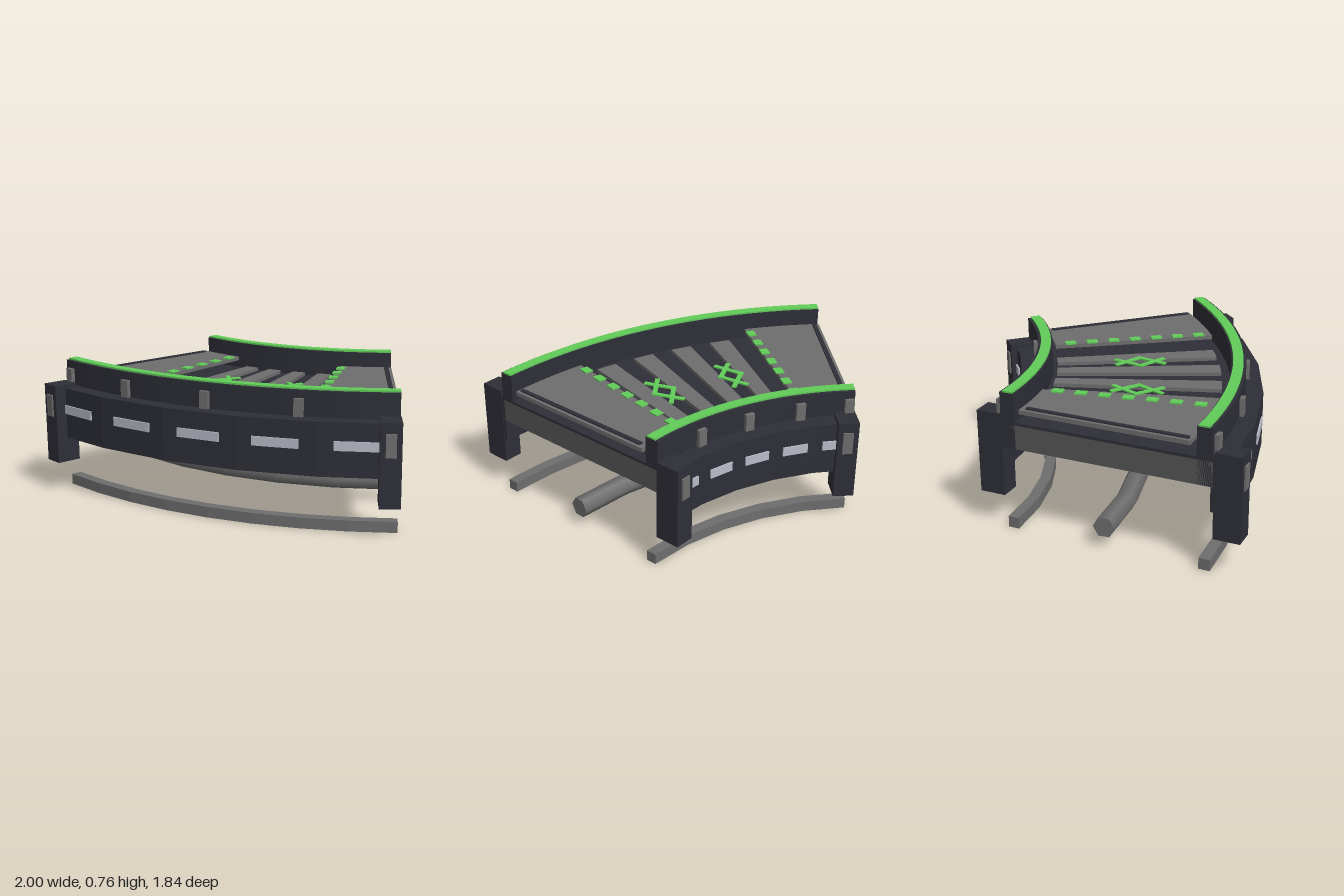
import * as THREE from 'three';

const CX = -0.985, CZ = -1.901; // centre of the bend
const END = 45;                 // total sweep in degrees
const rad = THREE.MathUtils.degToRad;

const mat = (name, color) => {
  const m = new THREE.MeshStandardMaterial({ color });
  m.name = name;
  return m;
};

export function createModel() {
  const group = new THREE.Group();
  const dark = mat('dark hull', 0x2e2e38);
  const grey = mat('deck grey', 0x6e6e6e);
  const frame = mat('frame grey', 0x565656);
  const green = mat('glow green', 0x62cc58);
  const silver = mat('silver light', 0xb9bcc8);

  const add = (geo, material, name, parent = group) => {
    const mesh = new THREE.Mesh(geo, material);
    mesh.name = name;
    parent.add(mesh);
    return mesh;
  };

  // Solid ring sector between two radii, two angles and two heights
  const sector = (name, material, r0, r1, a0, a1, y0, y1, seg) => {
    const pts = [];
    const push = (r, a) => pts.push(new THREE.Vector2(CX + r * Math.sin(rad(a)), -(CZ + r * Math.cos(rad(a)))));
    for (let i = 0; i <= seg; i++) push(r0, a0 + (a1 - a0) * i / seg);
    for (let i = seg; i >= 0; i--) push(r1, a0 + (a1 - a0) * i / seg);
    const geo = new THREE.ExtrudeGeometry(new THREE.Shape(pts), { depth: y1 - y0, bevelEnabled: false });
    geo.rotateX(-Math.PI / 2);
    geo.translate(0, y0, 0);
    return add(geo, material, name);
  };

  // Place an object at a radius and angle, local +z pointing outwards, local +x along the bend
  const place = (obj, r, a, y, along = 0) => {
    const t = rad(a);
    obj.position.set(CX + r * Math.sin(t) + along * Math.cos(t), y, CZ + r * Math.cos(t) - along * Math.sin(t));
    obj.rotation.y = t;
    return obj;
  };
  const box = (name, material, w, h, d, r, a, y, along) =>
    place(add(new THREE.BoxGeometry(w, h, d), material, name), r, a, y, along);

  // Deck body with dark top
  sector('deckBody', frame, 1.5, 2.66, 0, END, 0.45, 0.58, 20);
  sector('deckTop', dark, 1.5, 2.66, 0, END, 0.58, 0.595, 20);

  // Raised panels at both ends, each with a dark strip along the edge
  for (const s of [0, 1]) {
    const a0 = s ? END - 10.4 : 0;
    sector('endPanel', grey, 1.63, 2.545, a0, a0 + 10.4, 0.645, 0.668, 5);
    box('endPanelStrip', dark, 0.025, 0.008, 0.87, 2.095, s ? END : 0, 0.671, s ? -0.03 : 0.03);
  }

  // Radial deck strips
  for (let i = 0; i < 4; i++) {
    const a = 14.06 + i * 5.625;
    sector('deckStrip', grey, 1.63, 2.53, a - 1.4, a + 1.4, 0.595, 0.615, 2);
  }

  // Rows of green markers
  for (const a of [10, 35])
    for (let i = 0; i < 7; i++)
      box('marker', green, 0.048, 0.008, 0.06, 1.717 + i * 0.125, a, 0.672);

  // Diamond ornaments made of four crossing bars
  for (const a of [16.7, 28.3]) {
    const ornament = new THREE.Group();
    ornament.name = 'diamondOrnament';
    for (const sx of [-1, 1])
      for (const sz of [-1, 1]) {
        const from = new THREE.Vector2(sx * 0.07, -sz * 0.01), to = new THREE.Vector2(-sx * 0.043, sz * 0.138);
        const bar = add(new THREE.BoxGeometry(from.distanceTo(to), 0.008, 0.026), green, 'ornamentBar', ornament);
        bar.position.set((from.x + to.x) / 2, 0, (from.y + to.y) / 2);
        bar.rotation.y = -Math.atan2(to.y - from.y, to.x - from.x);
      }
    group.add(place(ornament, 2.09, a, 0.62));
  }

  // Outer (+1) and inner (-1) sides share one layout
  const sides = [
    { dir: 1, wall: [2.578, 2.656], trim: [2.586, 2.641], skirt: [2.65, 2.75], face: 2.75, light: 0.25, pillar: 2.737, rail: [2.596, 2.656] },
    { dir: -1, wall: [1.525, 1.604], trim: [1.541, 1.596], skirt: [1.43, 1.53], face: 1.43, light: 0.14, pillar: 1.46, rail: [1.543, 1.602] },
  ];
  for (const { dir, wall, trim, skirt, face, light, pillar, rail } of sides) {
    // Parapet with glowing top line
    sector('parapet', dark, ...wall, 0, END, 0.45, 0.748, 20);
    sector('parapetTrim', green, ...trim, 0, END, 0.748, 0.757, 20);

    // Faceted skirt panels with lights
    for (let i = 0; i < 5; i++) {
      const mid = 4.5 + i * 9;
      sector('skirtPanel', dark, ...skirt, i * 9, i * 9 + 9, 0.32, 0.61, 1);
      box('skirtLight', silver, light, 0.05, 0.009, face * Math.cos(rad(4.5)) + dir * 0.004, mid, 0.487);
    }

    // Small ribs on the parapet
    const ribR = dir > 0 ? wall[1] : wall[0];
    for (const a of [1.1, 11.25, 22.5, 33.75])
      box('parapetRib', grey, 0.05, 0.095, 0.035, ribR + dir * 0.005, a, 0.658);

    // Corner pillars with a face plate
    for (const [a, along] of [[0, 0.052], [END, -0.052]]) {
      box('cornerPillar', dark, 0.112, 0.45, 0.14, pillar, a, 0.405, along);
      box('pillarPlate', grey, 0.055, 0.125, 0.009, pillar + dir * 0.074, a, 0.512, along);
    }

    // Ground rail
    sector('groundRail', grey, ...rail, 0, END, 0, 0.06, dir > 0 ? 8 : 5);
  }

  // Hexagonal middle pipe in five straight lengths
  for (let i = 0; i < 5; i++) {
    const r = 2.09, geo = new THREE.CylinderGeometry(0.058, 0.058, 2 * r * Math.sin(rad(4.5)) + 0.006, 6);
    geo.rotateZ(-Math.PI / 2);
    place(add(geo, grey, 'middlePipe'), r * Math.cos(rad(4.5)), 4.5 + i * 9, 0.115);
  }

  return group;
}
